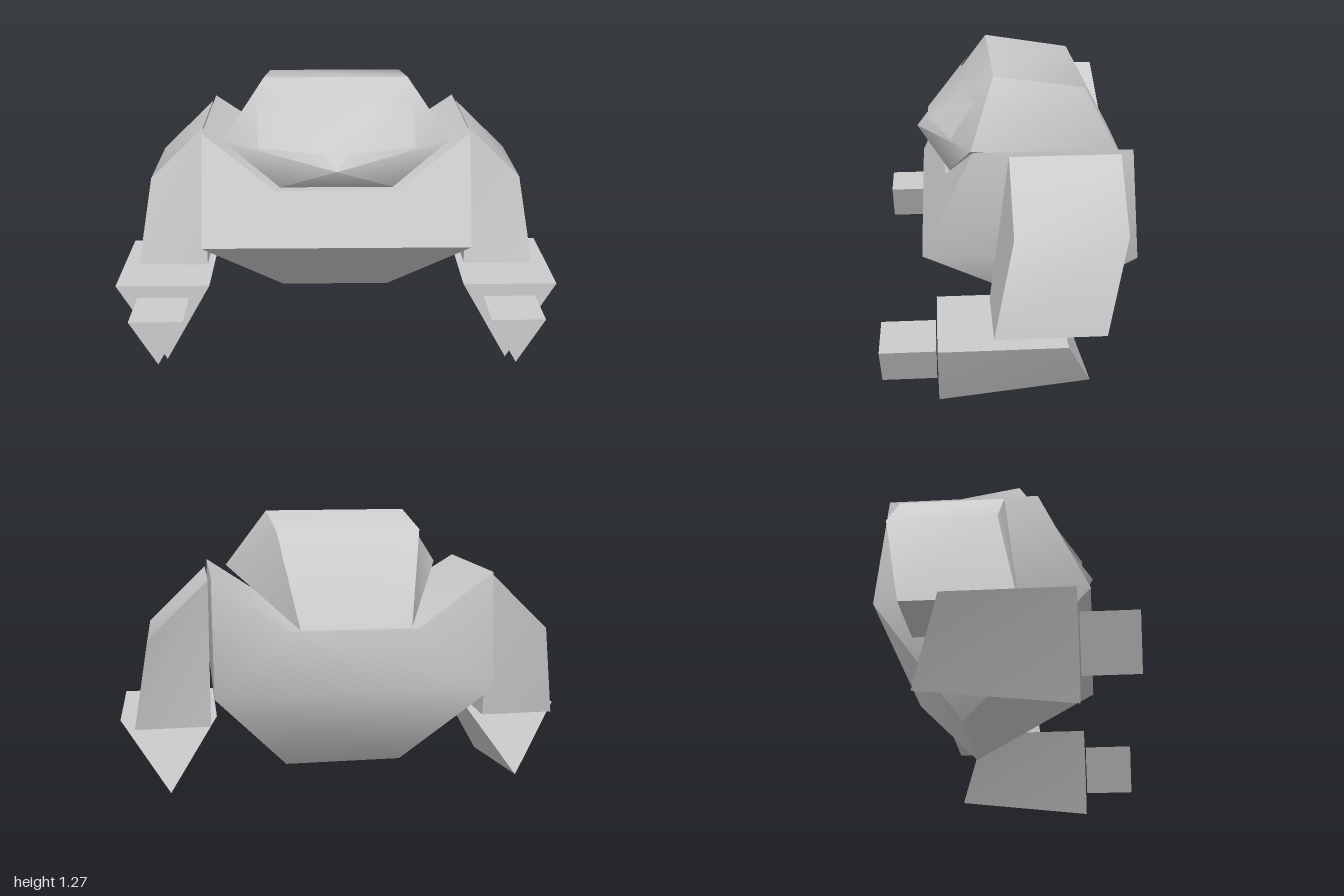
import * as THREE from 'three';
import { toCreasedNormals } from 'three/addons/utils/BufferGeometryUtils.js';

const grey = new THREE.MeshStandardMaterial({ color: 0xcccccc });
const greyThin = new THREE.MeshStandardMaterial({ color: 0xcccccc, side: THREE.DoubleSide });

// Faceted mesh from corner points and polygons (each polygon is fanned into triangles)
function polyMesh(name, points, faces, material = grey) {
  const pts = points.map((p) => new THREE.Vector3(...p));
  const tri = new THREE.Triangle();
  const pos = [];
  for (const f of faces) {
    for (let i = 1; i < f.length - 1; i++) {
      tri.set(pts[f[0]], pts[f[i]], pts[f[i + 1]]);
      if (tri.getArea() < 1e-7) continue;
      for (const v of [tri.a, tri.b, tri.c]) pos.push(v.x, v.y, v.z);
    }
  }
  const geo = new THREE.BufferGeometry();
  geo.setAttribute('position', new THREE.Float32BufferAttribute(pos, 3));
  const mesh = new THREE.Mesh(toCreasedNormals(geo, Math.PI / 3.4), material);
  mesh.name = name;
  return mesh;
}

// Solid between a front loop (counter-clockwise seen from the front) and a matching back loop
function loft(name, front, back, caps) {
  const n = front.length;
  caps = caps || [front.map((_, i) => i)];
  const faces = [];
  for (const c of caps) faces.push(c, c.map((i) => i + n).reverse());
  for (let i = 0; i < n; i++) {
    const j = (i + 1) % n;
    faces.push([i, i + n, j + n, j]);
  }
  return polyMesh(name, [...front, ...back], faces);
}

// Mirror a loop to the chosen side, keeping its winding
function onSide(s, loop) {
  const out = loop.map(([x, y, z]) => [x * s, y, z]);
  return s < 0 ? out.reverse() : out;
}

function makeBody() {
  // bottom edge is shared by the front and back loops; the top has a valley for the head
  const loop = (top, valley, low, lowY) => [
    [-0.595, lowY, low], [-0.265, 0.135, -0.2], [0.265, 0.135, -0.2], [0.595, lowY, low],
    [0.595, 1.045, top], [0.27, 0.815, valley], [-0.27, 0.815, valley], [-0.595, 1.045, top],
  ];
  return loft('body', loop(0.15, 0.26, 0.365, 0.585), loop(-0.5, -0.52, -0.545, 0.547),
    [[0, 1, 2, 3], [7, 0, 6], [6, 0, 3, 5], [5, 3, 4]]);
}

function makeHead() {
  // tip, then right/left pairs: top front, top back, cheek, lower back, lower front
  const half = [[0.32, 1.275, 0.05], [0.31, 1.215, -0.335], [0.505, 1.015, 0.155],
    [0.235, 0.825, -0.545], [0.25, 0.825, 0.24]];
  const points = [[0, 0.945, 0.38]];
  for (const [x, y, z] of half) points.push([x, y, z], [-x, y, z]);
  const middle = [[0, 1, 2], [1, 3, 4, 2], [3, 7, 8, 4], [0, 10, 9], [9, 10, 8, 7]];
  const side = [[0, 5, 1], [5, 7, 3, 1], [5, 9, 7], [0, 9, 5]];
  const mirrored = side.map((f) => f.map((i) => (i ? i + 1 : 0)).reverse());
  return polyMesh('head', points, [...middle, ...side, ...mirrored]);
}

function makeVisor() {
  // thin band just in front of the face
  const low = [[-0.345, 0.235], [-0.07, 0.33], [0.07, 0.33], [0.345, 0.235]];
  const high = [[-0.345, 0.132], [-0.21, 0.168], [0.21, 0.168], [0.345, 0.132]];
  const points = [...low.map(([x, z]) => [x, 1.008, z]), ...high.map(([x, z]) => [x, 1.17, z])];
  return polyMesh('visor', points, [0, 1, 2].map((i) => [i, i + 1, i + 5, i + 4]), greyThin);
}

function makeArm(s) {
  const arm = new THREE.Group();
  arm.name = s > 0 ? 'leftArm' : 'rightArm';

  const upper = (top, mid, low) => onSide(s,
    [[0.607, 0.38, low], [0.93, 0.38, low], [0.86, 0.785, mid], [0.607, 1.03, top]]);
  arm.add(loft('upperArm', upper(0.005, 0.002, 0.085), upper(-0.45, -0.45, -0.37)));

  // downward pointing triangular prisms
  const wedge = (w, topY, tipY, zTop, zTip) => onSide(s,
    [[0.788 - w, topY, zTop], [0.788, tipY, zTip], [0.788 + w, topY, zTop]]);
  arm.add(loft('forearm', wedge(0.212, 0.378, 0, 0.31, 0.31), wedge(0.212, 0.378, 0.072, -0.205, -0.33)));
  arm.add(loft('hand', wedge(0.118, 0.32, 0.11, 0.545, 0.545), wedge(0.118, 0.32, 0.11, 0.316, 0.316)));
  return arm;
}

export function createModel() {
  const model = new THREE.Group();
  model.name = 'robot';
  model.add(makeBody(), makeHead(), makeVisor(), makeArm(1), makeArm(-1));
  return model;
}
